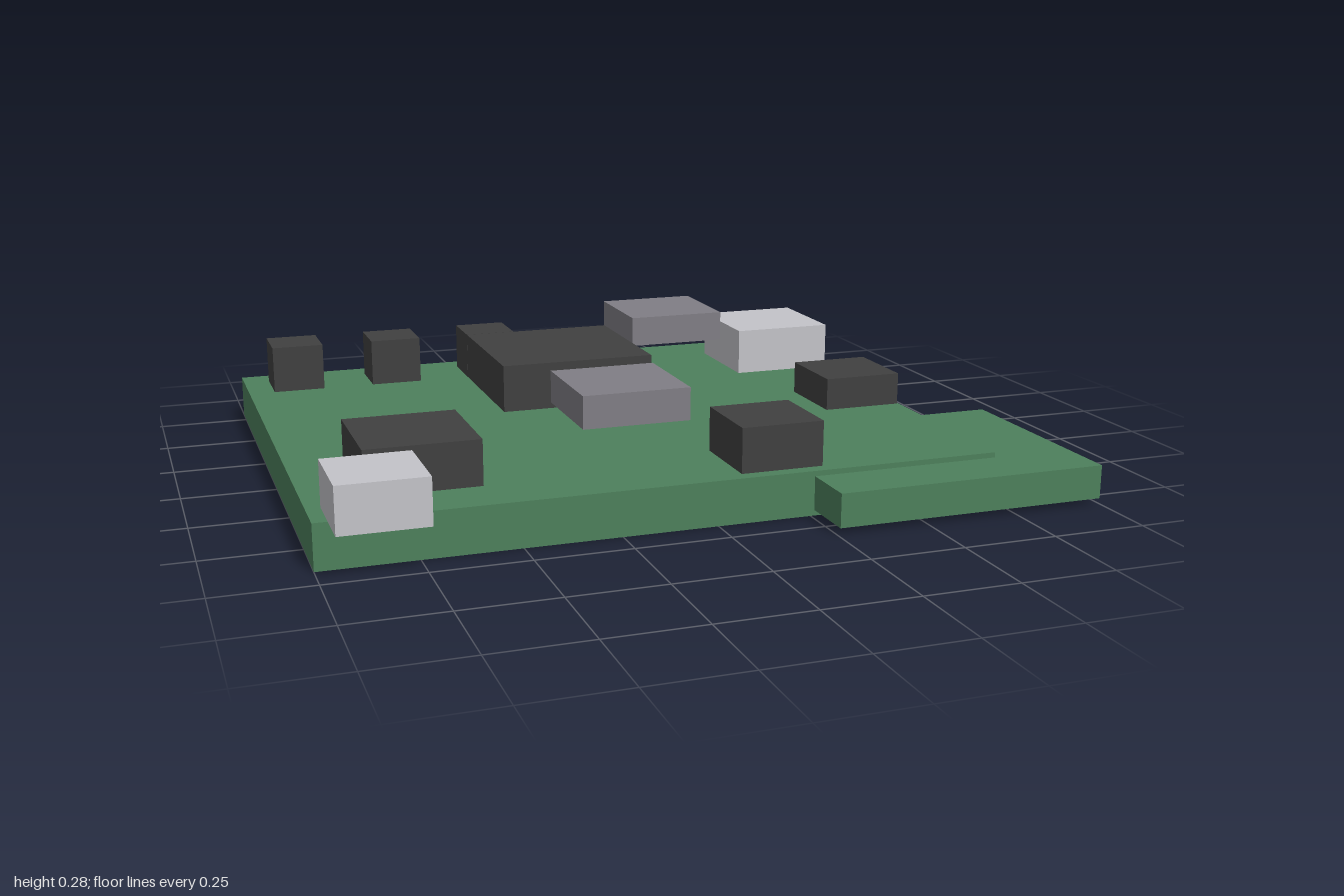
import * as THREE from 'three';

export function createModel() {
  const group = new THREE.Group();
  const material = (name, color) => {
    const m = new THREE.MeshStandardMaterial({ color });
    m.name = name;
    return m;
  };
  const green = material('board green', 0x4d805c);
  const black = material('chip black', 0x404040);
  const grey = material('metal grey', 0x807e85);
  const silver = material('connector silver', 0xc4c4c9);

  // Box given by its lower and upper limits on each axis
  const block = (name, mat, [x0, x1], [y0, y1], [z0, z1]) => {
    const mesh = new THREE.Mesh(new THREE.BoxGeometry(x1 - x0, y1 - y0, z1 - z0), mat);
    mesh.position.set((x0 + x1) / 2, (y0 + y1) / 2, (z0 + z1) / 2);
    mesh.name = name;
    group.add(mesh);
  };

  // Circuit board and the smaller board set into its front left corner
  block('mainBoard', green, [-1, 0.776], [0, 0.118], [-0.815, 0.663]);
  block('cornerBoard', green, [0.26, 1], [0.015, 0.104], [0.22, 0.815]);

  // Black chips
  block('processor', black, [-0.335, 0.11], [0.118, 0.252], [-0.595, -0.15]);
  block('rightChip', black, [-0.855, -0.56], [0.118, 0.237], [0.218, 0.514]);
  block('frontChip', black, [0.075, 0.297], [0.118, 0.237], [0.405, 0.627]);
  block('leftChip', black, [0.518, 0.74], [0.135, 0.224], [-0.037, 0.185]);

  // Row of capacitors along the back
  for (const x of [-0.926, -0.631, -0.335]) {
    block('capacitor', black, [x, x + 0.148], [0.118, 0.252], [-0.745, -0.597]);
  }

  // Raised metal modules
  block('rearModule', grey, [0.18, 0.476], [0.195, 0.284], [-0.815, -0.522]);
  block('centreModule', grey, [-0.26, 0.035], [0.195, 0.284], [0.073, 0.369]);

  // Silver connectors at the edges
  block('rearConnector', silver, [0.48, 0.776], [0.118, 0.252], [-0.668, -0.373]);
  block('frontConnector', silver, [-0.963, -0.741], [0.118, 0.237], [0.553, 0.775]);

  return group;
}
